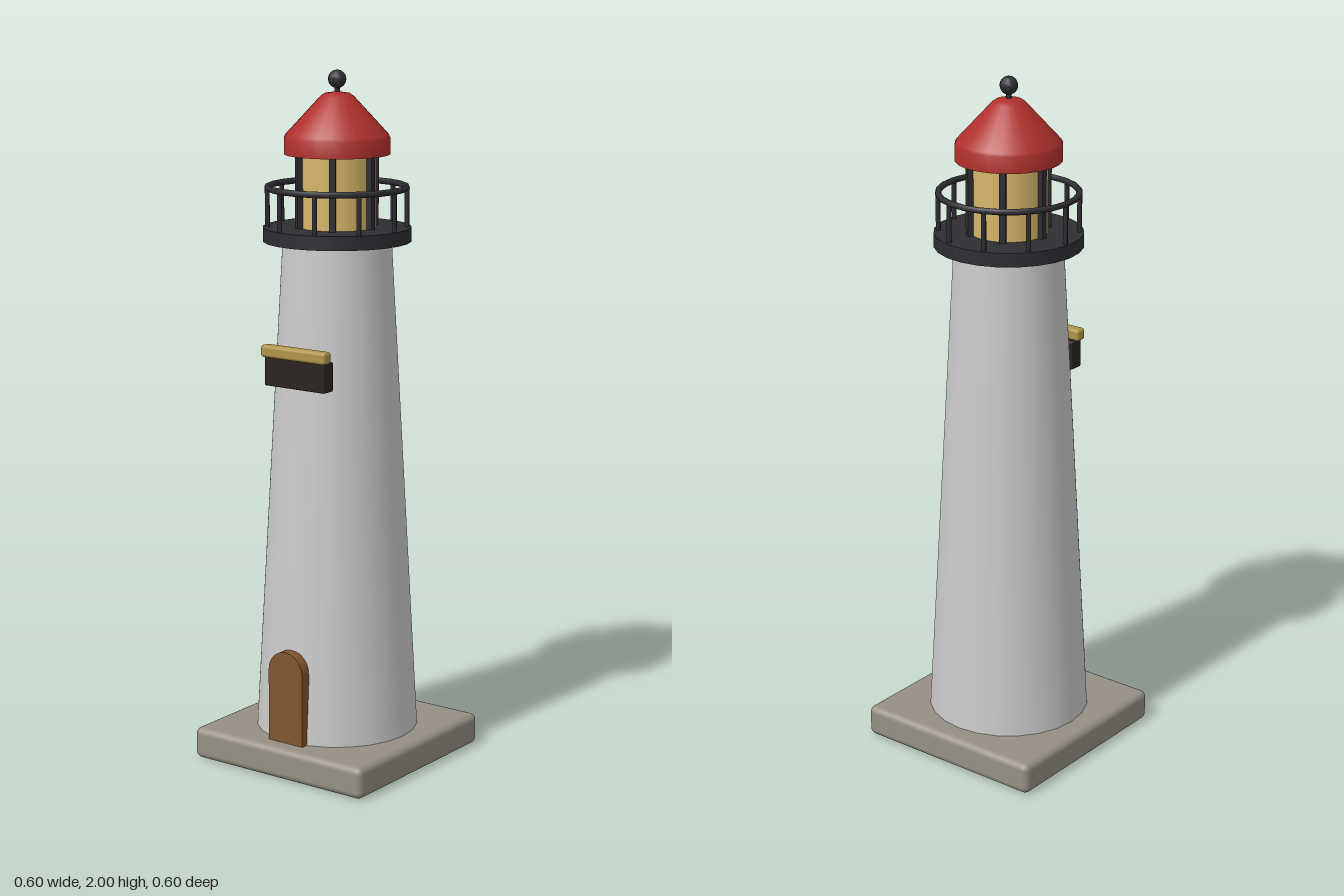
import * as THREE from 'three';
import { RoundedBoxGeometry } from 'three/addons/geometries/RoundedBoxGeometry.js';
import { toCreasedNormals } from 'three/addons/utils/BufferGeometryUtils.js';

const paint = (color) => new THREE.MeshStandardMaterial({ color });
const GREY = paint(0xcccccc), STONE = paint(0x969083), IRON = paint(0x2e2e33), RED = paint(0xb0302c),
  GLASS = paint(0xd6b66a), WOOD = paint(0x80562f), DARK = paint(0x2b2420), GOLD = paint(0xb0954a);
const SIDES = 24;

export function createModel() {
  const model = new THREE.Group();
  model.name = 'lighthouse';

  const add = (name, geometry, material, x = 0, y = 0, z = 0, parent = model) => {
    const mesh = new THREE.Mesh(geometry, material);
    mesh.name = name;
    mesh.position.set(x, y, z);
    parent.add(mesh);
    return mesh;
  };
  // Upright cylinder between two heights
  const drum = (name, rTop, rBottom, y0, y1, material, sides = SIDES) =>
    add(name, new THREE.CylinderGeometry(rTop, rBottom, y1 - y0, sides), material, 0, (y0 + y1) / 2, 0);

  // Stone base and tapering tower
  add('base', new RoundedBoxGeometry(0.6, 0.093, 0.6, 3, 0.02), STONE, 0, 0.0465, 0);
  drum('tower', 0.155, 0.237, 0.085, 1.53, GREY);

  // Arched door
  const arch = new THREE.Shape();
  arch.moveTo(-0.06, 0);
  arch.lineTo(0.06, 0);
  arch.lineTo(0.06, 0.212);
  arch.absarc(0, 0.212, 0.06, 0, Math.PI, false);
  arch.closePath();
  const doorGeometry = new THREE.ExtrudeGeometry(arch, { depth: 0.032, bevelEnabled: false, curveSegments: 8 });
  add('door', toCreasedNormals(doorGeometry, 0.6), WOOD, 0, 0.093, 0.218);

  // Front panel with its ledge
  add('panel', new RoundedBoxGeometry(0.21, 0.085, 0.045, 2, 0.005), DARK, 0, 1.165, 0.182);
  add('ledge', new RoundedBoxGeometry(0.225, 0.035, 0.036, 2, 0.009), GOLD, 0, 1.222, 0.196);

  // Gallery deck and railing
  drum('galleryDeck', 0.211, 0.211, 1.52, 1.56, IRON);
  const railing = new THREE.Group();
  railing.name = 'railing';
  model.add(railing);
  const rail = add('handrail', new THREE.TorusGeometry(0.197, 0.009, 8, SIDES), IRON, 0, 1.672, 0, railing);
  rail.rotation.x = Math.PI / 2;
  const postGeometry = new THREE.CylinderGeometry(0.007, 0.007, 0.115, 8);
  for (let i = 0; i < 10; i++) {
    const a = (i / 10) * Math.PI * 2;
    add('railPost', postGeometry, IRON, 0.197 * Math.cos(a), 1.6145, 0.197 * Math.sin(a), railing);
  }

  // Lantern room with glazing bars
  drum('lanternGlass', 0.11, 0.11, 1.555, 1.77, GLASS);
  const barGeometry = new THREE.BoxGeometry(0.018, 0.212, 0.018);
  for (let i = 0; i < 6; i++) {
    const a = (i / 6) * Math.PI * 2;
    const bar = add('glazingBar', barGeometry, IRON, 0.116 * Math.cos(a), 1.664, 0.116 * Math.sin(a));
    bar.rotation.y = -a;
  }

  // Roof with a short upright rim and a rounded crown
  const roofProfile = [
    [0, 1.765], [0.15, 1.765], [0.15, 1.812], [0.146, 1.82], [0.048, 1.926], [0.035, 1.935], [0, 1.94],
  ].map(([r, y]) => new THREE.Vector2(r, y));
  add('roof', toCreasedNormals(new THREE.LatheGeometry(roofProfile, SIDES), 0.6), RED);

  // Finial
  drum('finialStem', 0.008, 0.008, 1.93, 1.96, IRON, 8);
  add('finialBall', new THREE.SphereGeometry(0.026, 12, 8), IRON, 0, 1.974, 0);

  return model;
}
